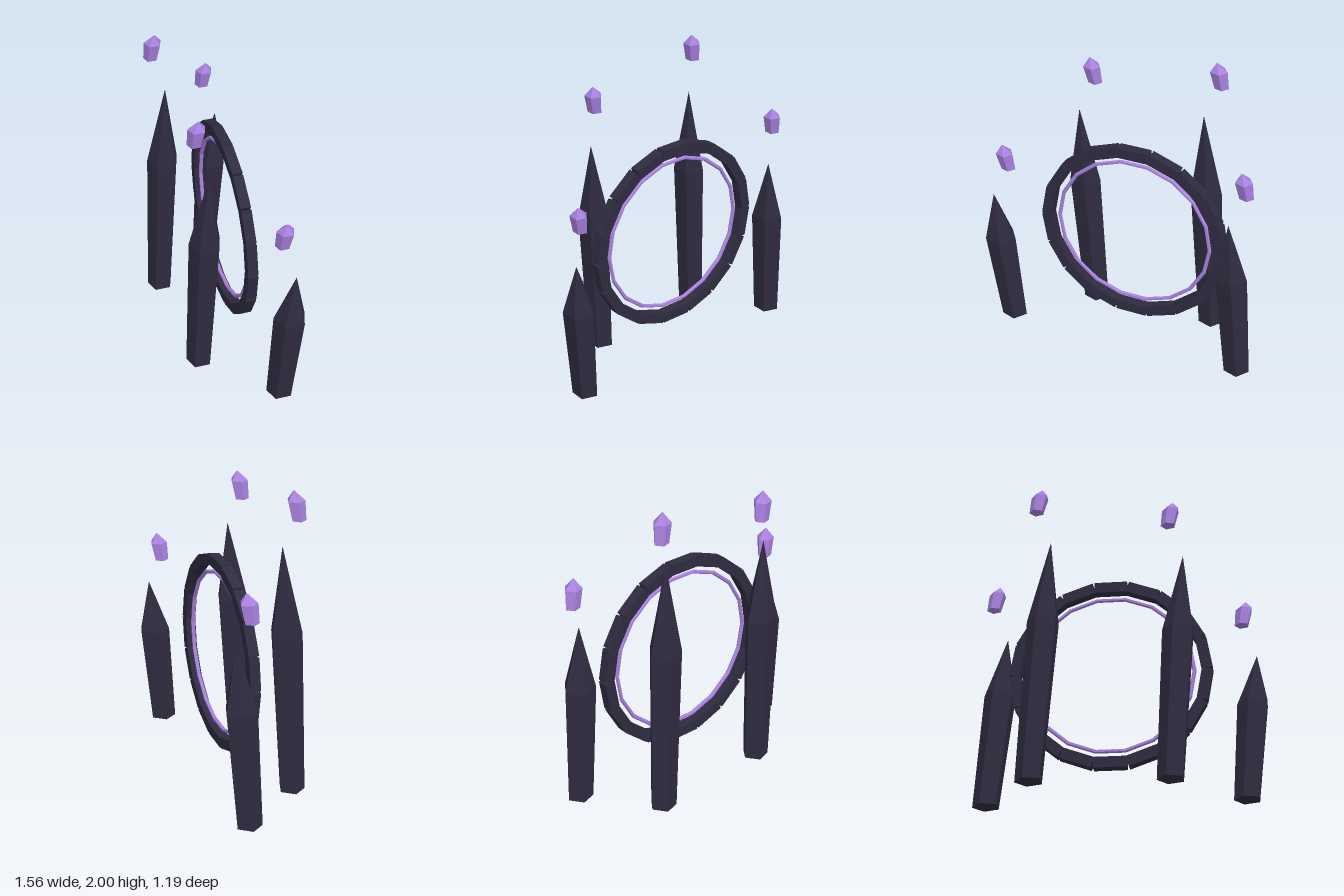
import * as THREE from 'three';

const stone = new THREE.MeshStandardMaterial({ color: 0x2f2b40, flatShading: true });
const violet = new THREE.MeshStandardMaterial({ color: 0xa982e0, flatShading: true });

// Five-sided pointed shard: flared shaft, sharp tip, leaning towards +x
function shard(name, material, radius, height, leanShoulder, leanTip) {
  const shoulder = height * 0.655;
  const profile = [[0, 0], [radius * 0.82, 0], [radius, shoulder], [0, height]];
  const geometry = new THREE.LatheGeometry(profile.map(([r, y]) => new THREE.Vector2(r, y)), 5);
  geometry.rotateY(Math.PI / 2);
  const p = geometry.attributes.position;
  for (let i = 0; i < p.count; i++) {
    const y = p.getY(i);
    const lean = y <= shoulder
      ? leanShoulder * y / shoulder
      : THREE.MathUtils.mapLinear(y, shoulder, height, leanShoulder, leanTip);
    p.setX(i, p.getX(i) + lean);
  }
  geometry.computeVertexNormals();
  const mesh = new THREE.Mesh(geometry, material);
  mesh.name = name;
  return mesh;
}

// Upright portal ring of stone blocks with a thin glowing band inside
function createPortal() {
  const portal = new THREE.Group();
  portal.name = 'portalRing';
  const count = 18, radius = 0.597, depth = 0.07;
  const block = new THREE.BoxGeometry(depth, 2 * Math.PI * radius / count, 0.066);
  for (let i = 0; i < count; i++) {
    const angle = (i + 0.5) / count * Math.PI * 2;
    const mesh = new THREE.Mesh(block, stone);
    mesh.name = 'ringBlock';
    mesh.position.set(Math.cos(angle) * radius, Math.sin(angle) * radius, 0);
    mesh.rotation.z = angle;
    portal.add(mesh);
  }
  const band = new THREE.Mesh(new THREE.TorusGeometry(0.525, 0.013, 6, count), violet);
  band.name = 'innerBand';
  portal.add(band);
  portal.position.set(-0.14, 0.819, 0.032);
  portal.rotation.y = -THREE.MathUtils.degToRad(36);
  return portal;
}

export function createModel() {
  const model = new THREE.Group();
  model.name = 'crystalPortal';
  model.add(createPortal());

  // Standing stones, each with a crystal floating above: x, z, height
  const stones = [
    [-0.693, 0.04, 1.63],
    [0.008, 0.495, 1.51],
    [-0.717, -0.497, 1.16],
    [0.6, 0.42, 0.985],
  ];
  for (const [x, z, height] of stones) {
    const pillar = shard('standingStone', stone, 0.105, height, 0.07, 0.107);
    pillar.position.set(x, 0, z);
    const crystal = shard('floatingCrystal', violet, 0.057, 0.18, 0.023, 0.038);
    crystal.position.set(x, height + 0.188, z);
    model.add(pillar, crystal);
  }
  return model;
}
